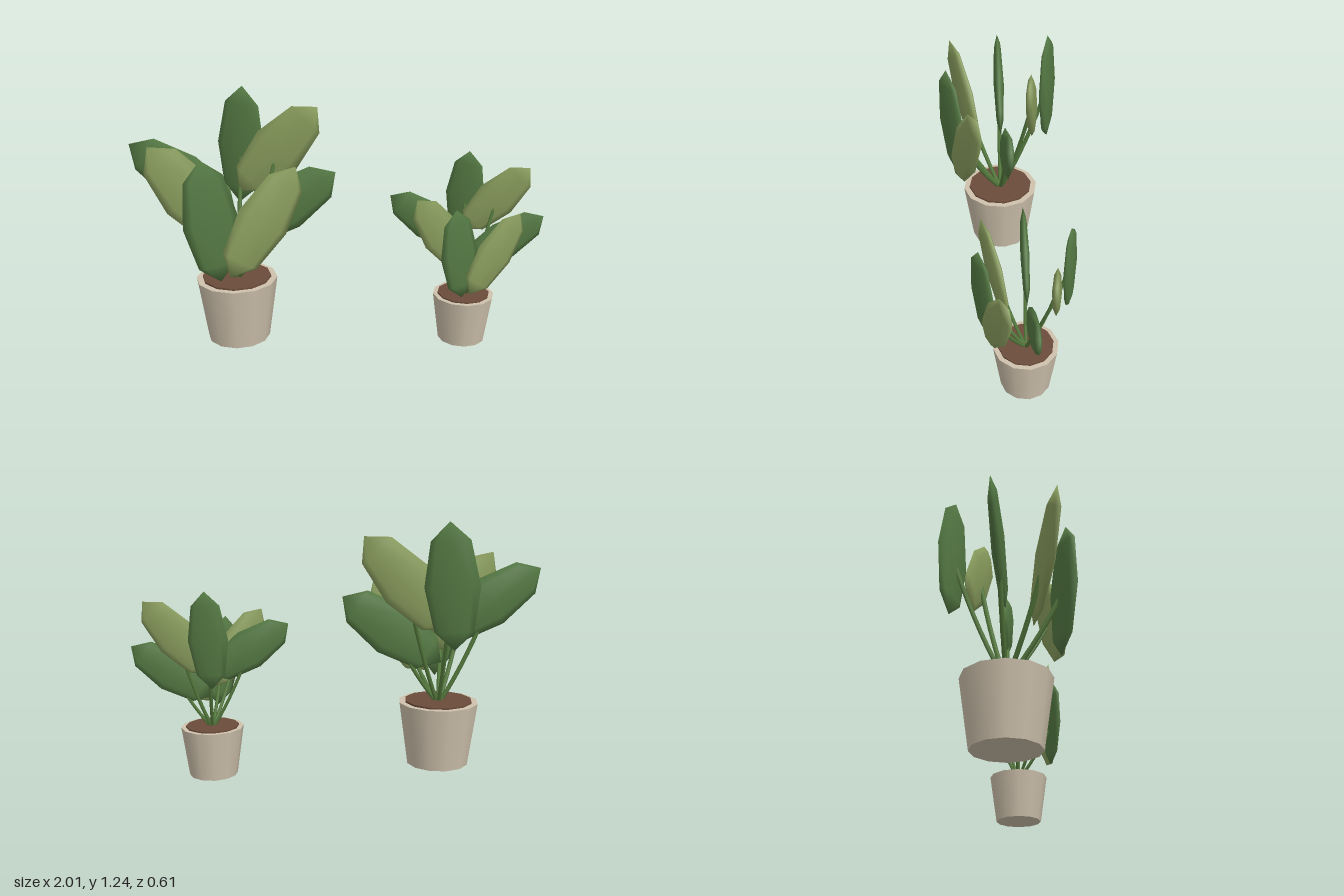
import * as THREE from 'three';

const mat = (color) => new THREE.MeshStandardMaterial({ color });

const POT = mat(0xcfc2ad);
const SOIL = mat(0x6b4c3a);
const STEM = mat(0x557a3d);
const DARK = mat(0x557a44);
const LIGHT = mat(0x8a9e5e);

// Leaves: centre relative to the pot, lean in the blade's plane, turn about y
const LEAVES = [
  { name: 'backLeaf', at: [0.02, 0.94, -0.248], lean: -0.06, turn: -0.42, color: DARK },
  { name: 'backLeftLeaf', at: [0.21, 0.945, -0.135], lean: -0.74, turn: -0.22, color: LIGHT },
  { name: 'leftLeaf', at: [0.245, 0.70, -0.003], lean: -0.97, turn: -0.04, color: DARK },
  { name: 'frontLeftLeaf', at: [0.153, 0.685, 0.197], lean: -0.57, turn: 0.32, color: LIGHT },
  { name: 'frontLeaf', at: [-0.082, 0.705, 0.25], lean: 0.12, turn: 0.42, color: DARK },
  { name: 'frontRightLeaf', at: [-0.185, 0.81, 0.17], lean: 0.62, turn: 0.3, color: LIGHT },
  { name: 'rightLeaf', at: [-0.247, 0.832, -0.03], lean: 0.99, turn: -0.1, color: DARK },
];

function add(group, name, geometry, material) {
  const mesh = new THREE.Mesh(geometry, material);
  mesh.name = name;
  group.add(mesh);
  return mesh;
}

function makePlant(name) {
  const plant = new THREE.Group();
  plant.name = name;

  // Tapered pot and the soil disc just above its rim
  add(plant, 'pot', new THREE.CylinderGeometry(0.203, 0.157, 0.323, 12), POT).position.y = 0.1615;
  add(plant, 'soil', new THREE.CylinderGeometry(0.172, 0.172, 0.03, 12), SOIL).position.y = 0.317;

  // Flattened low-poly blade shared by all leaves
  const blade = new THREE.SphereGeometry(1, 8, 4).scale(0.133, 0.305, 0.028);

  for (const { name: leafName, at, lean, turn, color } of LEAVES) {
    const leaf = add(plant, leafName, blade, color);
    leaf.position.set(...at);
    leaf.rotation.set(0, turn, lean, 'YXZ');

    // Stem bows outward from the soil to the middle of the blade
    const [x, y, z] = at;
    const curve = new THREE.QuadraticBezierCurve3(
      new THREE.Vector3(x * 0.04, 0.32, z * 0.04),
      new THREE.Vector3(x * 0.6, 0.32 + (y - 0.32) * 0.45, z * 0.6),
      new THREE.Vector3(x, y, z),
    );
    add(plant, leafName + 'Stem', new THREE.TubeGeometry(curve, 8, 0.011, 6), STEM);
  }
  return plant;
}

export function createModel() {
  const model = new THREE.Group();
  model.name = 'pottedPlants';

  const large = makePlant('largePlant');
  large.position.set(-0.51, 0, 0);

  const small = makePlant('smallPlant');
  small.scale.setScalar(0.75);
  small.position.set(0.63, 0, 0.038);

  model.add(large, small);
  return model;
}
